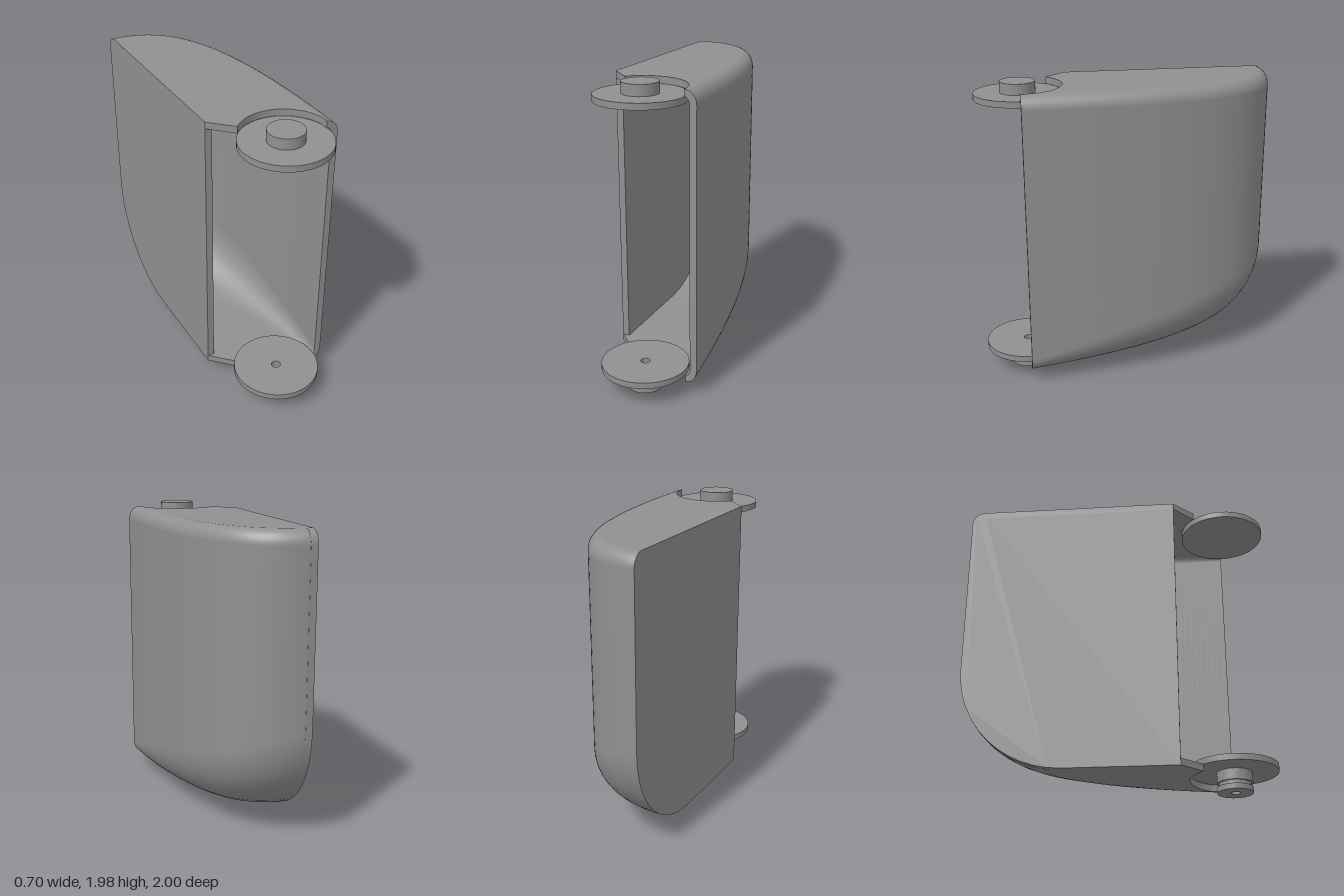
import * as THREE from 'three';

const BOTTOM = 0.085, TOP = 1.95, WALL = 0.045, FILLET = 0.09;
const HINGE = { x: -0.01, z: 0.72, r: 0.28 };
const STEPS = 56;

// Plan curves in (x, z), running from the open front to the rear corner
const v2 = (x, y) => new THREE.Vector2(x, y);
const outline = new THREE.CubicBezierCurve(v2(0.345, 0.72), v2(0.35, -0.5), v2(0.15, -1), v2(-0.35, -1));
const floorEdge = new THREE.QuadraticBezierCurve(v2(0.27, 0.72), v2(0.05, -0.2), v2(-0.35, -0.33));

function roofEdge(u) {
  const p = outline.getPointAt(u), t = outline.getTangentAt(u);
  return v2(p.x + t.y * 0.08, p.y - t.x * 0.08);
}

// Vertical section of the curved wall at u, set inwards by d
function section(u, d) {
  const p = outline.getPointAt(u), t = outline.getTangentAt(u);
  const q = floorEdge.getPoint(u), r = roofEdge(u);
  const yLow = 0.17 + 0.284 * (0.72 - p.y) + 0.22 * Math.max(0, 0.1 - p.x);
  const yHigh = TOP - FILLET, y0 = BOTTOM + d, y1 = TOP - d;
  const w = v2(p.x + t.y * d, p.y - t.x * d);
  const pts = [];
  for (let j = 0; j <= 12; j++) {
    const a = (j / 12) * Math.PI / 2, k = Math.sin(a);
    pts.push(new THREE.Vector3(q.x + (w.x - q.x) * k, yLow - (yLow - y0) * Math.cos(a), q.y + (w.y - q.y) * k));
  }
  for (let j = 0; j <= 8; j++) {
    const a = (j / 8) * Math.PI / 2, k = Math.cos(a);
    pts.push(new THREE.Vector3(r.x + (w.x - r.x) * k, yHigh + (y1 - yHigh) * Math.sin(a), r.y + (w.y - r.y) * k));
  }
  return pts;
}

// Surface through rows of points
function skin(rows, flip = false) {
  const n = rows[0].length, index = [];
  for (let i = 0; i < rows.length - 1; i++) {
    for (let j = 0; j < n - 1; j++) {
      const a = i * n + j, b = a + 1, c = a + n, e = c + 1;
      if (flip) index.push(a, b, c, b, e, c);
      else index.push(a, c, b, b, c, e);
    }
  }
  const g = new THREE.BufferGeometry().setFromPoints(rows.flat());
  g.setIndex(index);
  g.computeVertexNormals();
  return g;
}

const rowsAt = (d) => Array.from({ length: STEPS + 1 }, (_, i) => section(i / STEPS, d));

// Floor or roof plate with the bevelled corner and round hinge cut-out
function plate(edgeAt, y) {
  const s = new THREE.Shape();
  for (let i = 0; i <= STEPS; i++) {
    const p = edgeAt(i / STEPS);
    if (i) s.lineTo(p.x, -p.y);
    else s.moveTo(p.x, -p.y);
  }
  s.lineTo(-0.35, -0.39);
  s.absarc(HINGE.x, -HINGE.z, HINGE.r + 0.001, 2.38, 0, true);
  const g = new THREE.ExtrudeGeometry(s, { depth: WALL, bevelEnabled: false, curveSegments: 32 });
  g.rotateX(-Math.PI / 2);
  g.translate(0, y, 0);
  return g;
}

// Flat side wall, shaped by the rear end of the curved wall
function sideWall() {
  const s = new THREE.Shape(section(1, 0).map((p) => v2(p.z, p.y)));
  s.lineTo(0.39, TOP);
  s.lineTo(0.39, BOTTOM);
  const g = new THREE.ExtrudeGeometry(s, { depth: WALL, bevelEnabled: false });
  g.rotateY(-Math.PI / 2);
  g.translate(-0.35 + WALL, 0, 0);
  return g;
}

// Turned part with sharp edges: each profile segment is its own band
function turned(name, profile, material) {
  const group = new THREE.Group();
  group.name = name;
  for (let i = 0; i < profile.length - 1; i++) {
    const band = [profile[i], profile[i + 1]].map(([r, y]) => v2(r, y));
    const mesh = new THREE.Mesh(new THREE.LatheGeometry(band, 48), material);
    mesh.name = name + 'Band';
    group.add(mesh);
  }
  group.position.set(HINGE.x, 0, HINGE.z);
  return group;
}

export function createModel() {
  const grey = new THREE.MeshStandardMaterial({ color: 0x909090, side: THREE.DoubleSide });
  grey.name = 'grey';
  const model = new THREE.Group();
  model.name = 'hingedHousing';
  const add = (name, geometry) => {
    const mesh = new THREE.Mesh(geometry, grey);
    mesh.name = name;
    model.add(mesh);
  };

  // Hollow housing
  add('curvedOuterWall', skin(rowsAt(0)));
  add('curvedInnerWall', skin(rowsAt(WALL), true));
  add('frontRim', skin([section(0, 0), section(0, WALL)], true));
  add('flatSideWall', sideWall());
  add('roofPlate', plate(roofEdge, TOP - WALL));
  add('floorPlate', plate((u) => floorEdge.getPoint(u), BOTTOM));

  // Upper hinge disc with solid pin
  model.add(turned('upperHinge', [
    [0, 1.865], [HINGE.r, 1.865], [HINGE.r, 1.905], [0.113, 1.905], [0.113, 1.975], [0, 1.975],
  ], grey));

  // Lower hinge disc with grooved, bored pin
  model.add(turned('lowerHinge', [
    [0.03, 0], [0.113, 0], [0.113, 0.035], [0.102, 0.035], [0.102, 0.06], [0.113, 0.06],
    [0.113, 0.13], [HINGE.r, 0.13], [HINGE.r, 0.17], [0.03, 0.17], [0.03, 0],
  ], grey));

  return model;
}
